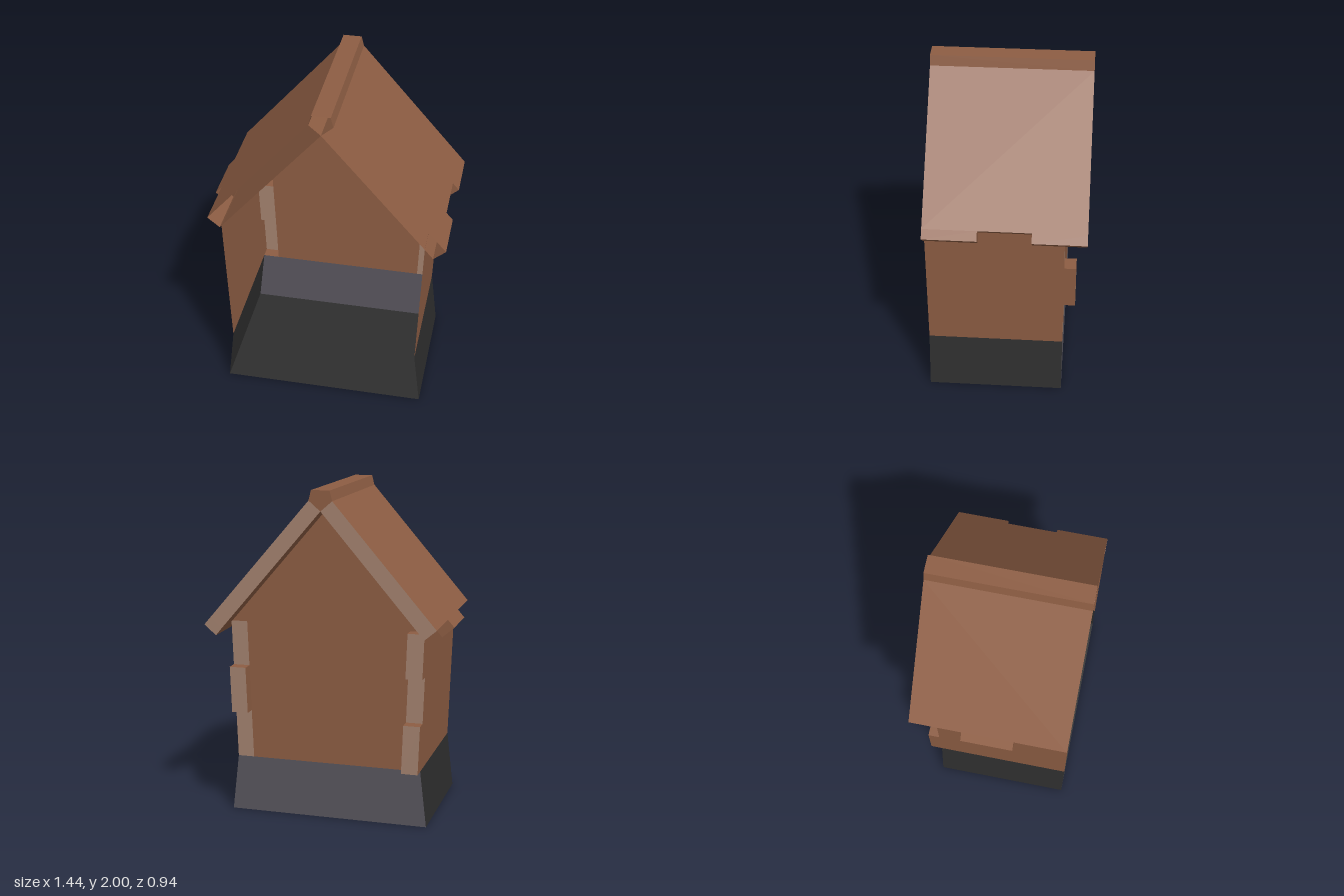
import * as THREE from 'three';

const mat = (name, color) => {
  const m = new THREE.MeshStandardMaterial({ color, side: THREE.DoubleSide });
  m.name = name;
  return m;
};

export function createModel() {
  const brick = mat('brown brick', 0x8d5d43);
  const trim = mat('pale brick edge', 0xa3826f);
  const slate = mat('grey stone', 0x59565e);
  const dark = mat('dark stone', 0x2e2e2e);

  const FRONT = 0.47, BACK = -0.34, ROOF_BACK = -0.47, QUOIN_BACK = -0.41, TAB = 0.155;
  const Y0 = 0.345, Y1 = 1.19;
  const wallX = y => 0.57 + (0.03 * (y - Y0)) / (Y1 - Y0); // outer face of wall
  const quoinX = y => wallX(y) - 0.1;                      // inner edge of corner stones

  const model = new THREE.Group();
  model.name = 'openGableHouse';

  const add = (parent, name, geometry, material) => {
    const mesh = new THREE.Mesh(geometry, material);
    mesh.name = name;
    parent.add(mesh);
  };
  // open polyline of [x, y] points swept along z, with flat faces
  const sweep = (pts, z0, z1) => {
    const pos = [];
    for (let i = 0; i < pts.length - 1; i++) {
      const [a, b] = [pts[i], pts[i + 1]];
      pos.push(...a, z0, ...b, z0, ...b, z1, ...a, z0, ...b, z1, ...a, z1);
    }
    const g = new THREE.BufferGeometry();
    g.setAttribute('position', new THREE.Float32BufferAttribute(pos, 3));
    g.computeVertexNormals();
    return g;
  };
  // flat panel facing backwards at depth z
  const panel = (pts, z) => {
    const g = new THREE.ShapeGeometry(new THREE.Shape(pts.map(p => new THREE.Vector2(-p[0], p[1]))));
    return g.rotateY(Math.PI).translate(0, 0, z);
  };
  const flip = (pts, s) => pts.map(([x, y]) => [s * x, y]);

  // plinth: bottom and sides, open at the front
  add(model, 'plinthSides', sweep([[-0.57, Y0], [-0.61, 0], [0.61, 0], [0.57, Y0]], BACK, FRONT), dark);
  add(model, 'plinthBack', panel([[-0.61, 0], [0.61, 0], [0.57, Y0], [-0.57, Y0]], BACK), slate);

  // back wall between the corner stones, with the gable
  const half = [[quoinX(Y0), Y0], [quoinX(Y1), Y1], [0.6, Y1], [0.4, 1.47]];
  add(model, 'backWall', panel([...half, [0, 1.94], ...flip(half, -1).reverse()], BACK), brick);

  const levels = [Y0, 0.64, 0.92, Y1];
  for (const s of [1, -1]) {
    const side = new THREE.Group();
    side.name = s > 0 ? 'leftSide' : 'rightSide';
    model.add(side);

    add(side, 'sideWall', sweep(flip([[wallX(Y0), Y0], [wallX(Y1), Y1]], s), BACK, FRONT), brick);

    // corner stones, every second one standing proud of the back wall
    for (let i = 0; i < 3; i++) {
      const [a, b] = [levels[i], levels[i + 1]];
      const face = flip([[quoinX(a), a], [wallX(a), a], [wallX(b), b], [quoinX(b), b]], s);
      const proud = (i === 1) === (s > 0);
      add(side, 'cornerStoneFace', panel(face, proud ? QUOIN_BACK : BACK), trim);
      if (proud) add(side, 'cornerStoneSides', sweep([...face, face[0]], QUOIN_BACK, BACK), brick);
    }

    // hollow roof slab, open at the front
    const topOut = [0.07, 1.94], topIn = [0, 1.88];
    const eaveOut = [0.683, 1.23], eaveIn = [0.611, 1.17];
    const tabOut = [0.722, 1.185], tabIn = [0.65, 1.123];
    const slab = flip([topOut, eaveOut, eaveIn, topIn], s);
    const tab = flip([eaveOut, tabOut, tabIn, eaveIn], s);
    add(side, 'roofOuter', sweep(slab.slice(0, 2), ROOF_BACK, FRONT), brick);
    add(side, 'roofUnderside', sweep(slab.slice(2), ROOF_BACK, FRONT), brick);
    add(side, 'roofBackEdge', panel(slab, ROOF_BACK), trim);

    // staggered eave: end tabs on one side, a middle tab on the other
    const ends = [[ROOF_BACK, -TAB], [TAB, FRONT]], middle = [[-TAB, TAB]];
    for (const [z0, z1] of s > 0 ? ends : middle) add(side, 'eaveTab', sweep(tab, z0, z1), brick);
    for (const [z0, z1] of s > 0 ? middle : ends) {
      add(side, 'eaveNotch', sweep(flip([eaveOut, eaveIn], s), z0, z1), brick);
    }
    for (const z of [-TAB, TAB]) add(side, 'eaveTabEnd', panel(tab, z), brick);
    if (s > 0) add(side, 'eaveBackEdge', panel(tab, ROOF_BACK), trim);
  }

  // ridge cap
  const ridge = [[0, 1.88], [0.07, 1.94], [0.055, 2], [-0.055, 2], [-0.07, 1.94]];
  add(model, 'ridgeCap', sweep([...ridge, ridge[0]], ROOF_BACK, FRONT), brick);
  add(model, 'ridgeBackEnd', panel(ridge, ROOF_BACK), brick);

  return model;
}
